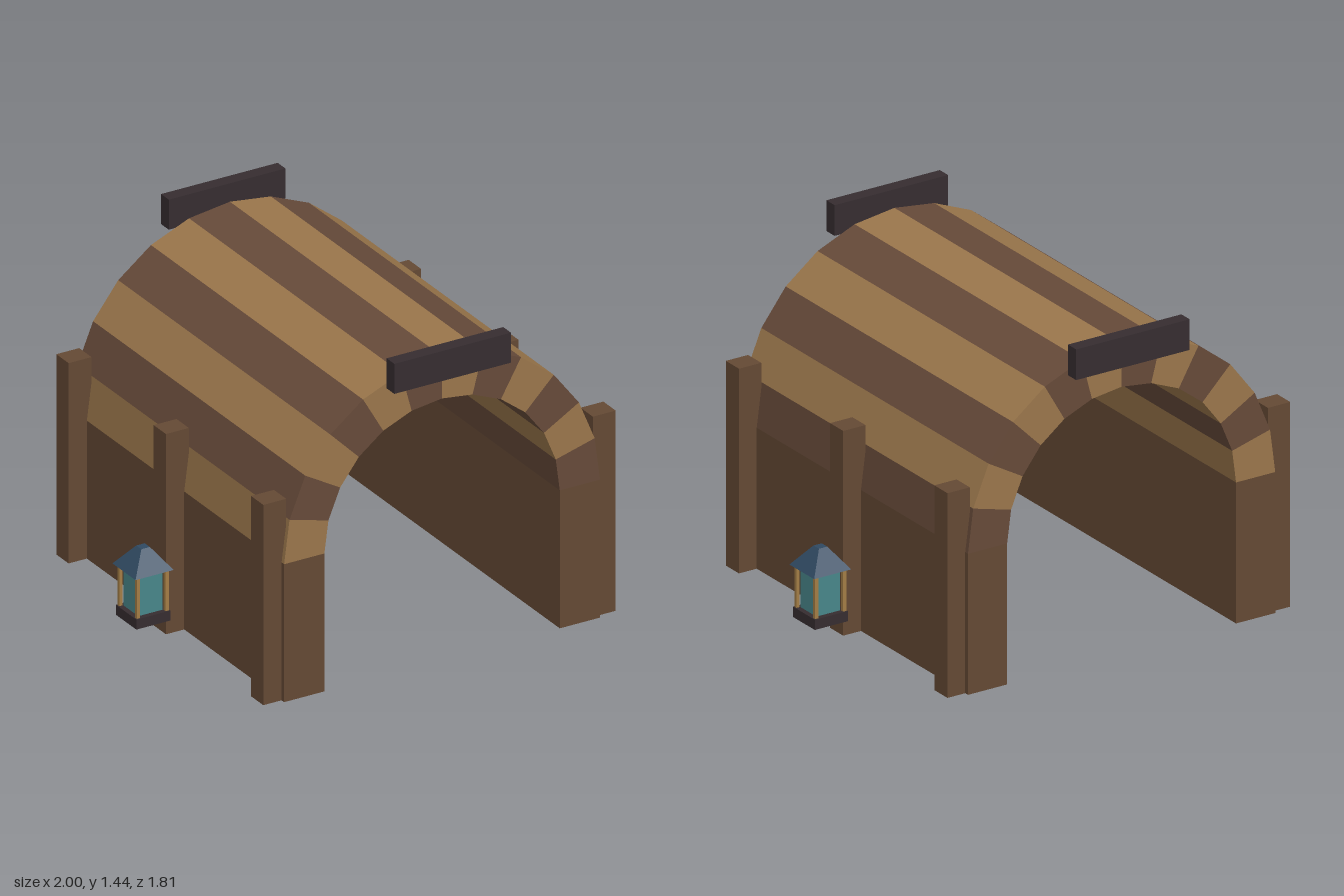
import * as THREE from 'three';

const mat = (name, color) => {
  const m = new THREE.MeshStandardMaterial({ color, flatShading: true });
  m.name = name;
  return m;
};

export function createModel() {
  const wallWood = mat('wallWood', 0x644934);
  const darkPlank = mat('darkPlank', 0x664a39);
  const lightPlank = mat('lightPlank', 0x9a764b);
  const iron = mat('darkIron', 0x362d30);
  const slate = mat('blueRoof', 0x304a62);
  const glass = mat('tealGlass', 0x48868a);
  const brass = mat('brass', 0xa37d45);

  const model = new THREE.Group();
  model.name = 'coveredArchway';

  const add = (parent, name, geometry, material, x, y, z) => {
    const mesh = new THREE.Mesh(geometry, material);
    mesh.name = name;
    mesh.position.set(x, y, z);
    parent.add(mesh);
    return mesh;
  };
  const box = (parent, name, w, h, d, material, x, y, z) =>
    add(parent, name, new THREE.BoxGeometry(w, h, d), material, x, y, z);

  // Vault of twelve alternating planks springing from the walls
  const R = 0.745, r = 0.555, spring = 0.62, depth = 1.65, count = 12;
  for (let i = 0; i < count; i++) {
    const a = Math.PI * (1 - i / count), b = Math.PI * (1 - (i + 1) / count);
    const at = (radius, t) => new THREE.Vector2(Math.cos(t) * radius, spring + Math.sin(t) * radius);
    const shape = new THREE.Shape([at(R, a), at(r, a), at(r, b), at(R, b)]);
    const geo = new THREE.ExtrudeGeometry(shape, { depth, bevelEnabled: false });
    add(model, 'vaultPlank' + (i + 1), geo, i % 2 ? darkPlank : lightPlank, 0, 0, -depth / 2);
  }

  for (const s of [1, -1]) {
    const side = s > 0 ? 'left' : 'right';

    // Straight walls and their posts
    box(model, side + 'Wall', R - r, spring, depth, wallWood, s * (R + r) / 2, spring / 2, 0);
    for (const z of [-0.757, 0, 0.757]) {
      box(model, side + 'Post', 0.108, 0.9, 0.096, wallWood, s * 0.777, 0.45, z);
    }

    // Lantern on the middle post
    const lantern = new THREE.Group();
    lantern.name = side + 'Lantern';
    lantern.position.x = s * 0.91;
    model.add(lantern);
    box(lantern, 'lanternBase', 0.16, 0.045, 0.16, iron, 0, 0.0975, 0);
    box(lantern, 'lanternGlass', 0.114, 0.185, 0.114, glass, 0, 0.2125, 0);
    for (const x of [-0.068, 0.068]) {
      for (const z of [-0.068, 0.068]) {
        box(lantern, 'lanternCorner', 0.015, 0.185, 0.015, brass, x, 0.2125, z);
      }
    }
    const roof = new THREE.CylinderGeometry(0.02 * Math.SQRT2, 0.09 * Math.SQRT2, 0.092, 4);
    roof.rotateY(Math.PI / 4);
    add(lantern, 'lanternRoof', roof, slate, 0, 0.35, 0);

    // Sign board over each opening
    box(model, s > 0 ? 'frontBoard' : 'backBoard', 0.55, 0.135, 0.06, iron, 0, 1.3675, s * 0.877);
  }

  return model;
}
